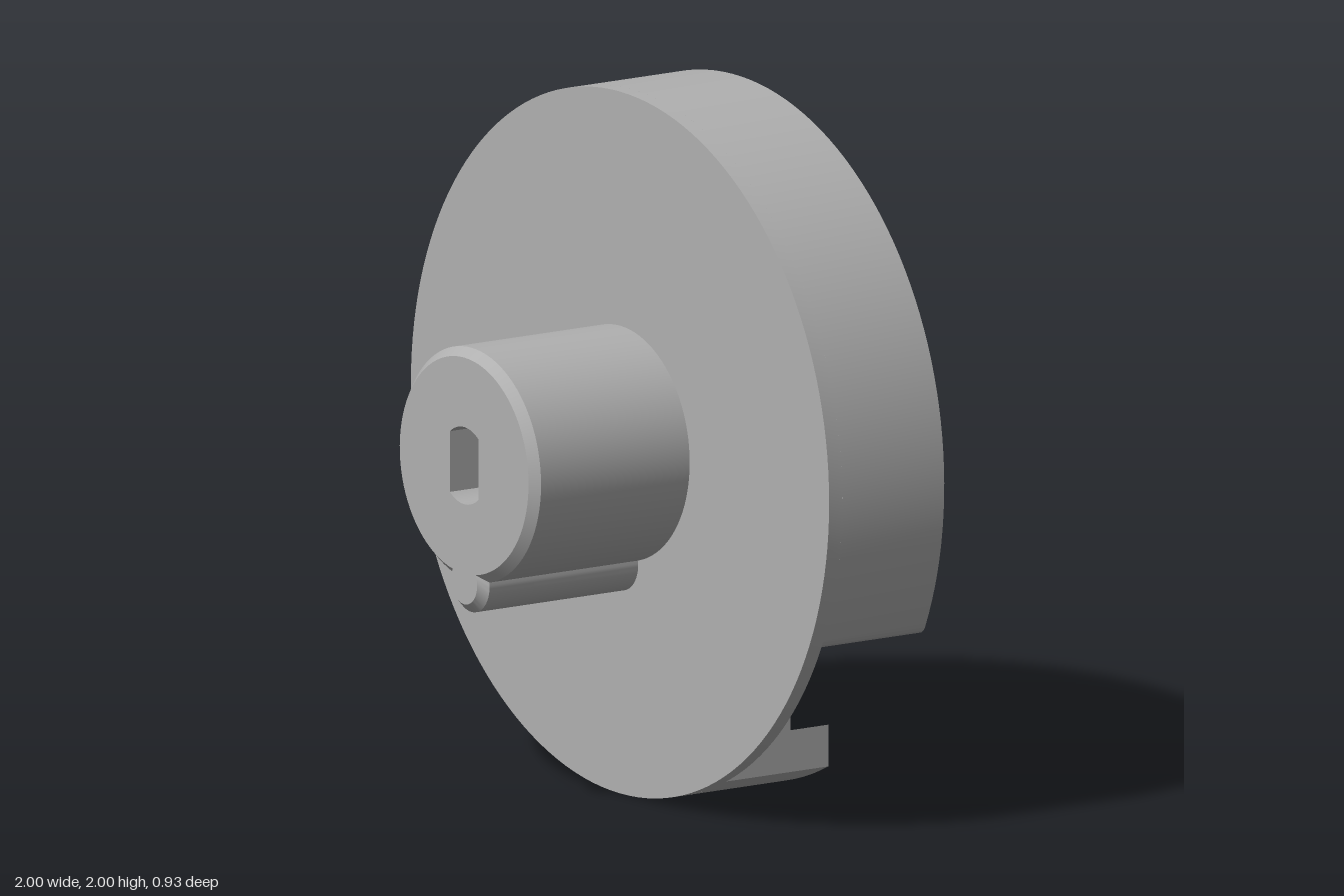
import * as THREE from 'three';
import { mergeGeometries, toCreasedNormals } from 'three/addons/utils/BufferGeometryUtils.js';

const V = (x, y) => new THREE.Vector2(x, y);
const FRONT = -0.07, FLOOR = -0.115, BACK = -0.465, NOSE = 0.465;
const R_OUT = 1, R_IN = 0.895;

// points along an arc, both ends included
function arc(cx, cy, r, a0, a1, n) {
  return Array.from({ length: n + 1 }, (_, i) => {
    const a = a0 + (a1 - a0) * i / n;
    return V(cx + r * Math.cos(a), cy + r * Math.sin(a));
  });
}

// hub outline: a large circle joined with a small key circle below it
function hubOutline(inset) {
  const R = 0.333 - inset, r = 0.087 - inset, d = 0.333;
  const y = -(R * R - r * r + d * d) / (2 * d);
  const x = Math.sqrt(R * R - y * y);
  const b = Math.atan2(y, x), g = Math.atan2(y + d, x);
  return [
    ...arc(0, 0, R, b, Math.PI - b, 80).slice(0, -1),
    ...arc(0, -d, r, Math.PI - g, 2 * Math.PI + g, 32).slice(0, -1),
  ];
}

// wall between two closed loops at different depths
function strip(a, za, b, zb, inward = false) {
  const pos = [];
  a.forEach((p, i) => {
    const j = (i + 1) % a.length;
    const q = [[p, za], [a[j], za], [b[j], zb], [b[i], zb]];
    const order = inward ? [0, 2, 1, 0, 3, 2] : [0, 1, 2, 0, 2, 3];
    for (const k of order) pos.push(q[k][0].x, q[k][0].y, q[k][1]);
  });
  const g = new THREE.BufferGeometry();
  g.setAttribute('position', new THREE.Float32BufferAttribute(pos, 3));
  return g;
}

function flat(points, z, hole) {
  const s = new THREE.Shape(points);
  if (hole) s.holes.push(new THREE.Path(hole));
  const g = new THREE.ShapeGeometry(s).toNonIndexed().translate(0, 0, z);
  g.deleteAttribute('uv');
  g.deleteAttribute('normal');
  return g;
}

const extrude = (shape, depth) =>
  new THREE.ExtrudeGeometry(shape, { depth, bevelEnabled: false, curveSegments: 32 });

export function createModel() {
  const model = new THREE.Group();
  model.name = 'knob';
  const body = new THREE.Group();
  body.position.y = 1;
  model.add(body);

  const grey = new THREE.MeshStandardMaterial({ color: 0xb0b0b0 });
  grey.name = 'grey';
  const add = (name, geometry) => {
    const mesh = new THREE.Mesh(toCreasedNormals(geometry, 0.5), grey);
    mesh.name = name;
    body.add(mesh);
  };

  // front disc
  add('disc', new THREE.CylinderGeometry(R_OUT, R_OUT, FRONT - FLOOR, 144)
    .rotateX(Math.PI / 2).translate(0, 0, (FRONT + FLOOR) / 2));

  // rim wall with a gap: rounded level end above, upright end below
  const endY = -0.44, endX = 0.446, f = 0.025;
  const xo = Math.sqrt(R_OUT ** 2 - endY ** 2), xi = Math.sqrt(R_IN ** 2 - endY ** 2);
  const outer = arc(0, 0, R_OUT, Math.asin(endY) + f, 2 * Math.PI - Math.acos(endX), 128);
  const inner = arc(0, 0, R_IN, 2 * Math.PI - Math.acos(endX / R_IN), Math.asin(endY / R_IN) + f, 128);
  const rim = new THREE.Shape([...outer, ...inner]);
  rim.quadraticCurveTo(xi, endY, xi + f, endY);
  rim.lineTo(xo - f, endY);
  rim.quadraticCurveTo(xo, endY, outer[0].x, outer[0].y);
  add('rim', extrude(rim, FLOOR - BACK).translate(0, 0, BACK));

  // hub with key, chamfered nose and blind slot with two flats
  const c = 0.025, full = hubOutline(0), small = hubOutline(c);
  const sr = 0.11, half = 0.068, t = Math.acos(half / sr);
  const slot = [...arc(0, 0, sr, t, Math.PI - t, 16), ...arc(0, 0, sr, Math.PI + t, 2 * Math.PI - t, 16)];
  const slotFloor = -0.05;
  add('hub', mergeGeometries([
    strip(full, FRONT - 0.01, full, NOSE - c),
    strip(full, NOSE - c, small, NOSE),
    flat(small, NOSE, slot),
    strip(slot, slotFloor, slot, NOSE, true),
    flat(slot, slotFloor),
  ]));

  // stepped boss on the inside
  const profile = [V(0.237, 0), V(0.237, 0.045), V(0.208, 0.045), V(0.208, 0.205), V(0.188, 0.225), V(0, 0.225)];
  add('boss', new THREE.LatheGeometry(profile, 64).rotateX(-Math.PI / 2).translate(0, 0, FLOOR));

  // block beside the gap, with a cross hole
  const blockBack = -0.335, base = -0.895, shoulder = -0.49, top = -0.43, round = 0.05;
  const side = new THREE.Shape([
    V(-FLOOR, base), V(-blockBack, base), V(-blockBack, shoulder), V(-FLOOR, shoulder),
  ]);
  side.holes.push(new THREE.Path().absarc(0.225, -0.635, 0.085, 0, 2 * Math.PI, true));
  add('block', extrude(side, endX).rotateY(Math.PI / 2));

  // top of the block with one rounded corner
  const cap = new THREE.Shape([
    V(0, shoulder), V(endX, shoulder), V(endX, top),
    ...arc(round, top - round, round, Math.PI / 2, Math.PI, 10),
  ]);
  add('blockTop', extrude(cap, FLOOR - blockBack).translate(0, 0, blockBack));

  return model;
}
